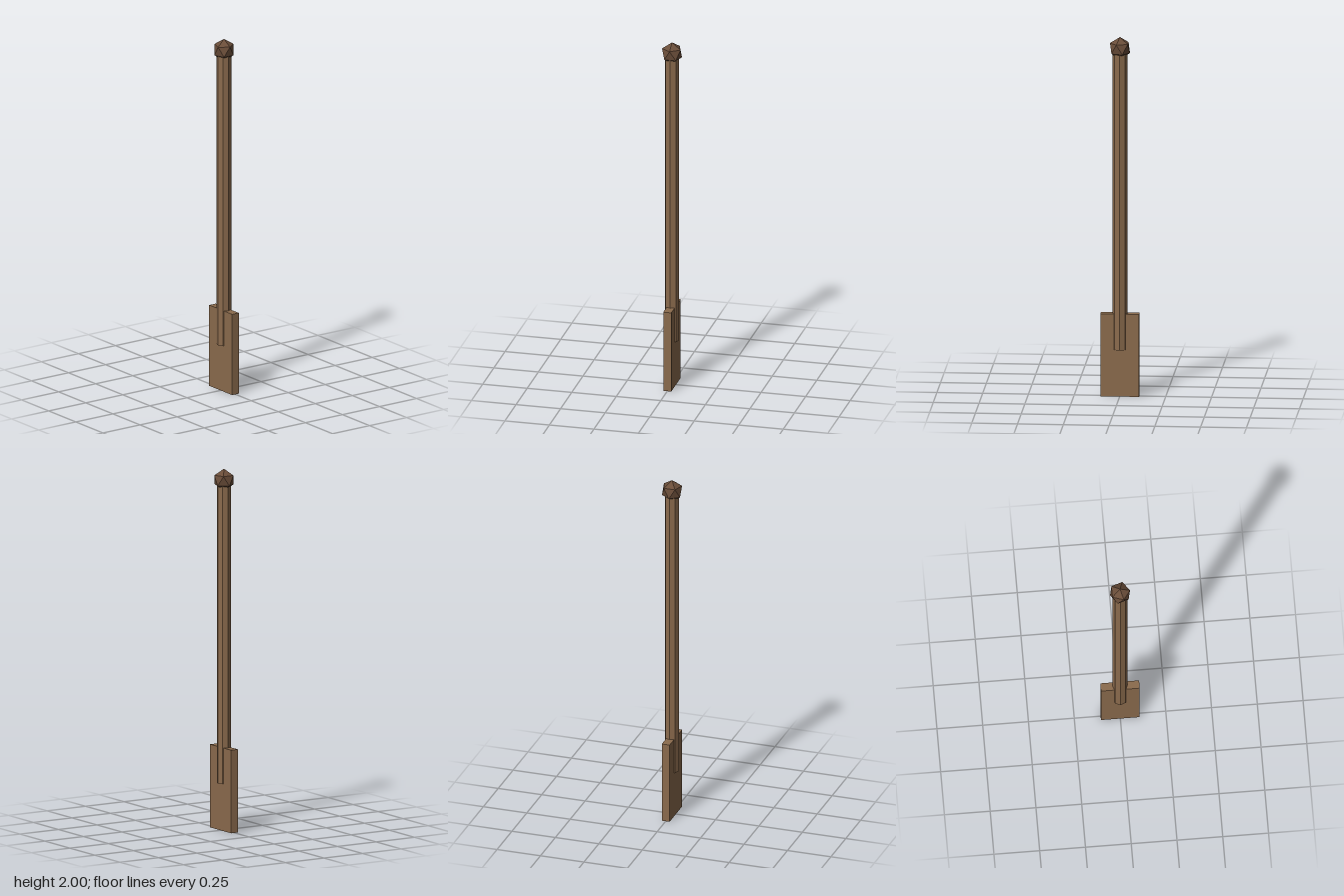
import * as THREE from 'three';

const wood = new THREE.MeshStandardMaterial({ name: 'wood', color: 0x8b6b4d });
const darkWood = new THREE.MeshStandardMaterial({ name: 'dark wood', color: 0x6b4e3a });
wood.flatShading = darkWood.flatShading = true;

export function createModel() {
  const model = new THREE.Group();
  model.name = 'paddle';

  const add = (name, geometry, material, y) => {
    const mesh = new THREE.Mesh(geometry, material);
    mesh.name = name;
    mesh.position.y = y;
    model.add(mesh);
  };

  // Flat blade standing on the ground
  add('blade', new THREE.BoxGeometry(0.212, 0.46, 0.045), wood, 0.23);

  // Eight-sided shaft overlapping the blade
  const bottom = 0.26, top = 1.925;
  add('shaft', new THREE.CylinderGeometry(0.04, 0.04, top - bottom, 8), wood, (top + bottom) / 2);

  // Faceted knob with one corner pointing up and one of the upper ring towards +x
  const radius = 0.061;
  const knob = new THREE.IcosahedronGeometry(radius, 0);
  knob.rotateX(-Math.atan((1 + Math.sqrt(5)) / 2));
  knob.rotateY(Math.PI / 2);
  add('knob', knob, darkWood, 2 - radius);

  return model;
}
